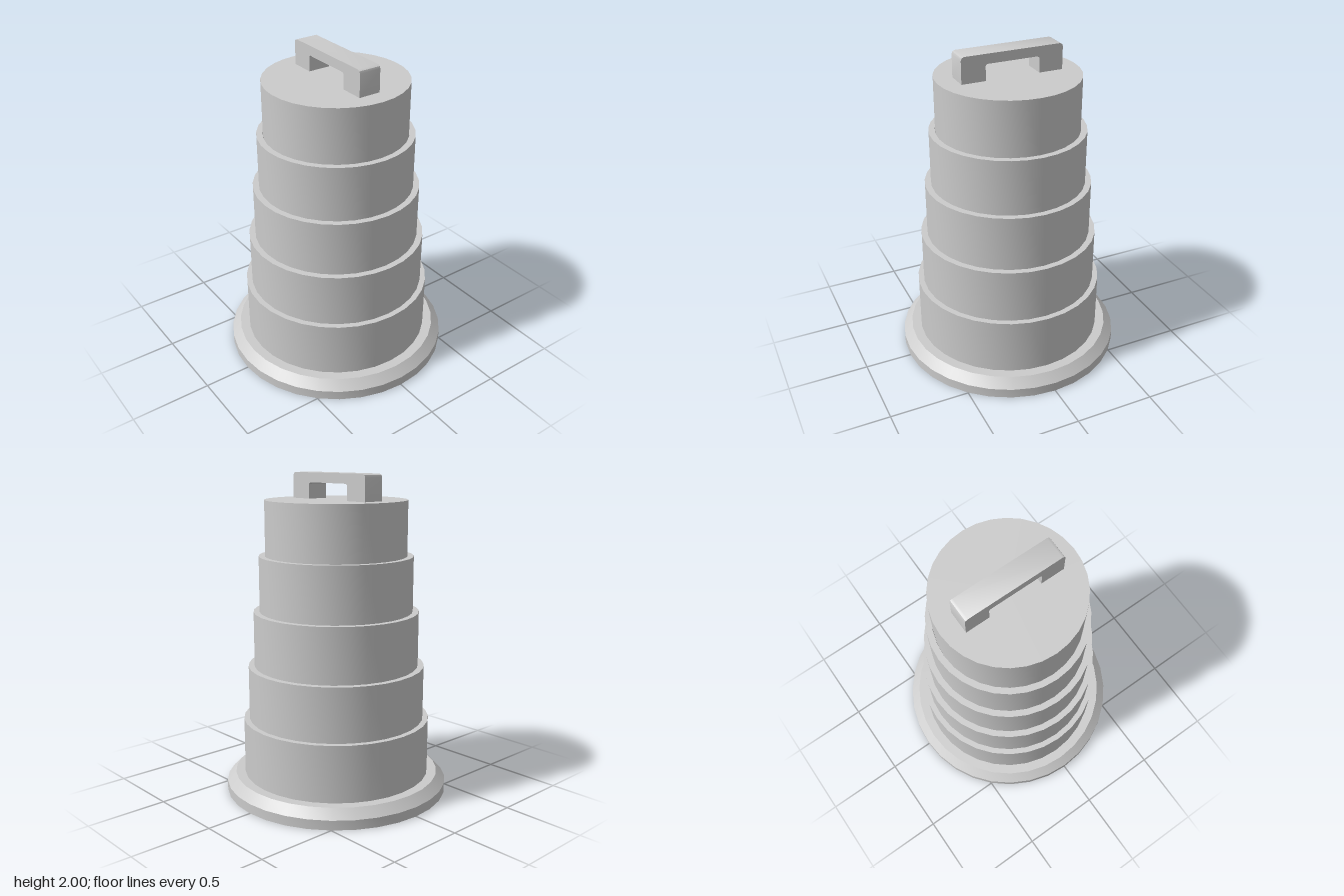
import * as THREE from 'three';
import { toCreasedNormals } from 'three/addons/utils/BufferGeometryUtils.js';

const SIDES = 32;

export function createModel() {
  const group = new THREE.Group();
  const material = new THREE.MeshStandardMaterial({ color: 0xcccccc });

  const add = (name, geometry) => {
    const mesh = new THREE.Mesh(toCreasedNormals(geometry, 0.5), material);
    mesh.name = name;
    group.add(mesh);
  };
  // Profile runs counter-clockwise in (radius, height)
  const turn = (profile) =>
    new THREE.LatheGeometry(profile.map(([r, y]) => new THREE.Vector2(r, y)), SIDES);

  // Chamfered foot ring with a recess under the lowest tier
  add('baseRing', turn([
    [0.61, 0], [0.705, 0], [0.705, 0.06], [0.65, 0.115],
    [0.56, 0.115], [0.56, 0.09], [0.61, 0.09], [0.61, 0],
  ]));

  // Telescoping hollow tiers; the last one is closed by a lid
  const radii = [0.59, 0.555, 0.517, 0.479, 0.439];
  const tops = [0.47, 0.81, 1.155, 1.5, 1.84];
  const wall = 0.032;
  radii.forEach((r, i) => {
    const bottom = i === 0 ? 0.1 : tops[i - 1] - 0.015;
    const top = tops[i];
    const inner = r - wall;
    const last = i === radii.length - 1;
    add('tier' + (i + 1), turn(last
      ? [[0, top - wall], [inner, top - wall], [inner, bottom], [r, bottom], [r, top], [0, top]]
      // the wall top reaches inward to meet the next tier
      : [[inner - 0.006, top], [inner, top - 0.015], [inner, bottom], [r, bottom], [r, top], [inner - 0.006, top]]));
  });

  // Carrying handle: a bridge outline with clipped corners
  const half = [
    [0.17, 1.835], [0.32, 1.835], [0.32, 1.98], [0.315, 1.993], [0.30, 2],
  ];
  const arch = [[0.17, 1.93], [0.16, 1.94]];
  const right = [...arch.slice().reverse(), ...half];
  const left = right.map(([x, y]) => [-x, y]).reverse();
  const shape = new THREE.Shape([...right, ...left].map(([x, y]) => new THREE.Vector2(x, y)));
  const handle = new THREE.ExtrudeGeometry(shape, { depth: 0.14, bevelEnabled: false });
  handle.translate(0, 0, -0.07);
  add('handle', handle);

  return group;
}
